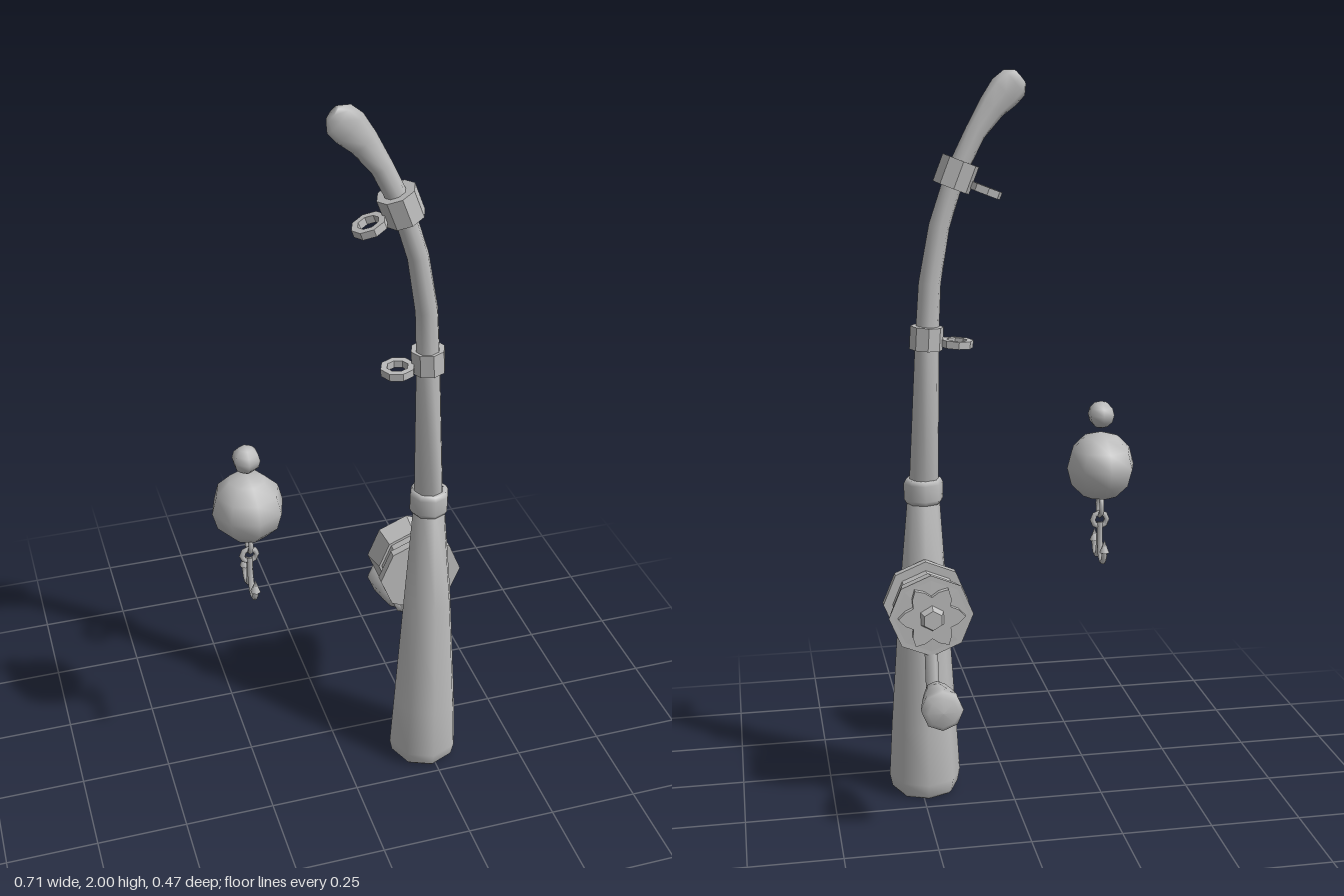
import * as THREE from 'three';

const grey = new THREE.MeshStandardMaterial({ color: 0xbcbcbc });
grey.name = 'plain grey';

function add(parent, name, geometry, x = 0, y = 0, z = 0) {
  const mesh = new THREE.Mesh(geometry, grey);
  mesh.name = name;
  mesh.position.set(x, y, z);
  parent.add(mesh);
  return mesh;
}

// Hard-edged version of a geometry
function faceted(geometry) {
  const g = geometry.index ? geometry.toNonIndexed() : geometry;
  g.computeVertexNormals();
  return g;
}

function lathe(points, sides) {
  return new THREE.LatheGeometry(points.map(p => new THREE.Vector2(...p)), sides);
}

// Loft of eight-sided rings; each ring is [x, y, z, lean, radius in x, radius in z]
function loft(rings, sides = 8) {
  const pos = [], idx = [];
  for (const [x, y, z, lean, rx, rz] of rings) {
    for (let j = 0; j < sides; j++) {
      const t = (j / sides) * Math.PI * 2, u = rx * Math.sin(t);
      pos.push(x + u * Math.cos(lean), y + u * Math.sin(lean), z + rz * Math.cos(t));
    }
  }
  for (let i = 0; i < rings.length - 1; i++) {
    for (let j = 0; j < sides; j++) {
      const a = i * sides + j, b = i * sides + (j + 1) % sides;
      idx.push(a, b, a + sides, b, b + sides, a + sides);
    }
  }
  // End caps
  const last = (rings.length - 1) * sides;
  for (let j = 1; j < sides - 1; j++) {
    idx.push(0, j + 1, j, last, last + j, last + j + 1);
  }
  const g = new THREE.BufferGeometry();
  g.setAttribute('position', new THREE.Float32BufferAttribute(pos, 3));
  g.setIndex(idx);
  g.computeVertexNormals();
  return g;
}

// Collar around the rod with a line ring on its right side
function lineGuide(parent, x, y, z, lean, radius, height) {
  const guide = new THREE.Group();
  guide.name = 'lineGuide';
  guide.position.set(x, y, z);
  guide.rotation.z = lean;
  add(guide, 'guideCollar', faceted(new THREE.CylinderGeometry(radius, radius, height, 8)));
  const ring = lathe([[0.028, -0.01], [0.045, -0.01], [0.045, 0.01], [0.028, 0.01], [0.028, -0.01]], 8);
  add(guide, 'guideRing', faceted(ring), -radius - 0.037, -0.012, 0);
  parent.add(guide);
}

function buildRod(parent) {
  const rod = new THREE.Group();
  rod.name = 'rod';
  add(rod, 'handle', loft([
    [0.237, 0, 0.135, 0, 0.085, 0.085],
    [0.237, 0.01, 0.135, 0, 0.094, 0.094],
    [0.237, 0.045, 0.135, 0, 0.101, 0.101],
    [0.237, 0.2, 0.135, 0, 0.092, 0.092],
    [0.235, 0.55, 0.134, 0, 0.069, 0.069],
    [0.23, 0.88, 0.132, 0, 0.043, 0.043],
  ]));
  add(rod, 'handleCollar', lathe([[0.038, -0.034], [0.048, -0.034], [0.054, -0.022],
    [0.054, 0.022], [0.048, 0.034], [0.038, 0.034]], 8), 0.23, 0.882, 0.132);
  add(rod, 'bentShaft', loft([
    [0.229, 0.88, 0.131, 0.02, 0.041, 0.041],
    [0.215, 1.3, 0.127, 0.05, 0.032, 0.032],
    [0.206, 1.45, 0.126, 0.11, 0.03, 0.03],
    [0.179, 1.6, 0.126, 0.23, 0.028, 0.028],
    [0.135, 1.735, 0.125, 0.37, 0.027, 0.026],
    [0.082, 1.84, 0.125, 0.5, 0.028, 0.022],
    [0.038, 1.905, 0.125, 0.68, 0.037, 0.02],
    [0.004, 1.943, 0.125, 0.8, 0.046, 0.019],
    [-0.022, 1.967, 0.125, 0.85, 0.043, 0.018],
    [-0.038, 1.982, 0.125, 0.87, 0.023, 0.015],
  ]));
  lineGuide(rod, 0.217, 1.305, 0.121, 0.06, 0.045, 0.062);
  lineGuide(rod, 0.134, 1.735, 0.12, 0.37, 0.051, 0.075);
  parent.add(rod);
}

function buildReel(parent) {
  // Turned so that local +y points to the back and local +z points up
  const reel = new THREE.Group();
  reel.name = 'reel';
  reel.position.set(0.237, 0.585, 0);
  reel.rotation.x = -Math.PI / 2;
  add(reel, 'spool', faceted(lathe([[0, -0.073], [0.117, -0.073], [0.117, -0.05], [0.092, -0.05],
    [0.092, -0.003], [0.1, -0.003], [0.114, 0.06], [0.1, 0.06], [0, 0.064]], 8)));

  // Star-shaped drag wheel
  const star = new THREE.Shape();
  for (let i = 0; i < 24; i++) {
    const a = (i / 24) * Math.PI * 2, r = 0.074 + 0.016 * Math.cos(a * 6);
    star[i ? 'lineTo' : 'moveTo'](r * Math.cos(a), r * Math.sin(a));
  }
  star.closePath();
  const wheel = add(reel, 'dragWheel', new THREE.ExtrudeGeometry(star, { depth: 0.02, bevelEnabled: false }), 0, 0.056, 0);
  wheel.rotation.x = -Math.PI / 2;
  add(reel, 'reelKnob', faceted(new THREE.CylinderGeometry(0.027, 0.036, 0.022, 6)), 0, 0.086, 0);

  // Crank arm reaching down to the grip
  const arm = new THREE.LineCurve3(new THREE.Vector3(0, 0.035, -0.06), new THREE.Vector3(0, 0.065, -0.218));
  add(reel, 'crankArm', new THREE.TubeGeometry(arm, 1, 0.018, 6));
  add(reel, 'crankGrip', lathe([[0, 0.05], [0.021, 0.055], [0.021, 0.088], [0.033, 0.092],
    [0.044, 0.14], [0.055, 0.2], [0.055, 0.22], [0.04, 0.234], [0, 0.238]], 8), -0.006, 0, -0.205);
  parent.add(reel);
}

function buildLure(parent) {
  const lure = new THREE.Group();
  lure.name = 'lure';
  lure.position.set(-0.26, 0, 0.103);
  const ball = add(lure, 'floatBall', new THREE.SphereGeometry(0.097, 8, 6), 0, 0.935, 0);
  ball.rotation.y = 0.1;
  const bead = add(lure, 'topBead', new THREE.SphereGeometry(0.038, 6, 6), 0, 1.08, 0);
  bead.rotation.y = Math.PI / 6;

  // Two small links hanging under the ball
  const upper = add(lure, 'upperLink', new THREE.TorusGeometry(0.021, 0.007, 5, 8), 0, 0.822, 0);
  upper.rotation.y = Math.PI / 2;
  upper.scale.y = 1.4;
  add(lure, 'lowerLink', new THREE.TorusGeometry(0.02, 0.008, 5, 8), 0, 0.78, 0);

  // Mirrored pair of barbed hooks
  for (const side of [-1, 1]) {
    const p = (y, z) => new THREE.Vector3(0, y, z * side);
    const bend = new THREE.CatmullRomCurve3([p(0.775, 0.004), p(0.71, 0.008), p(0.675, 0.02),
      p(0.668, 0.038), p(0.682, 0.055), p(0.71, 0.061)]);
    add(lure, 'hook', new THREE.TubeGeometry(bend, 12, 0.008, 6));
    add(lure, 'hookBarb', new THREE.ConeGeometry(0.014, 0.036, 6), 0, 0.72, 0.06 * side);
  }
  parent.add(lure);
}

export function createModel() {
  const model = new THREE.Group();
  model.name = 'fishingRodAndLure';
  buildRod(model);
  buildReel(model);
  buildLure(model);
  return model;
}
